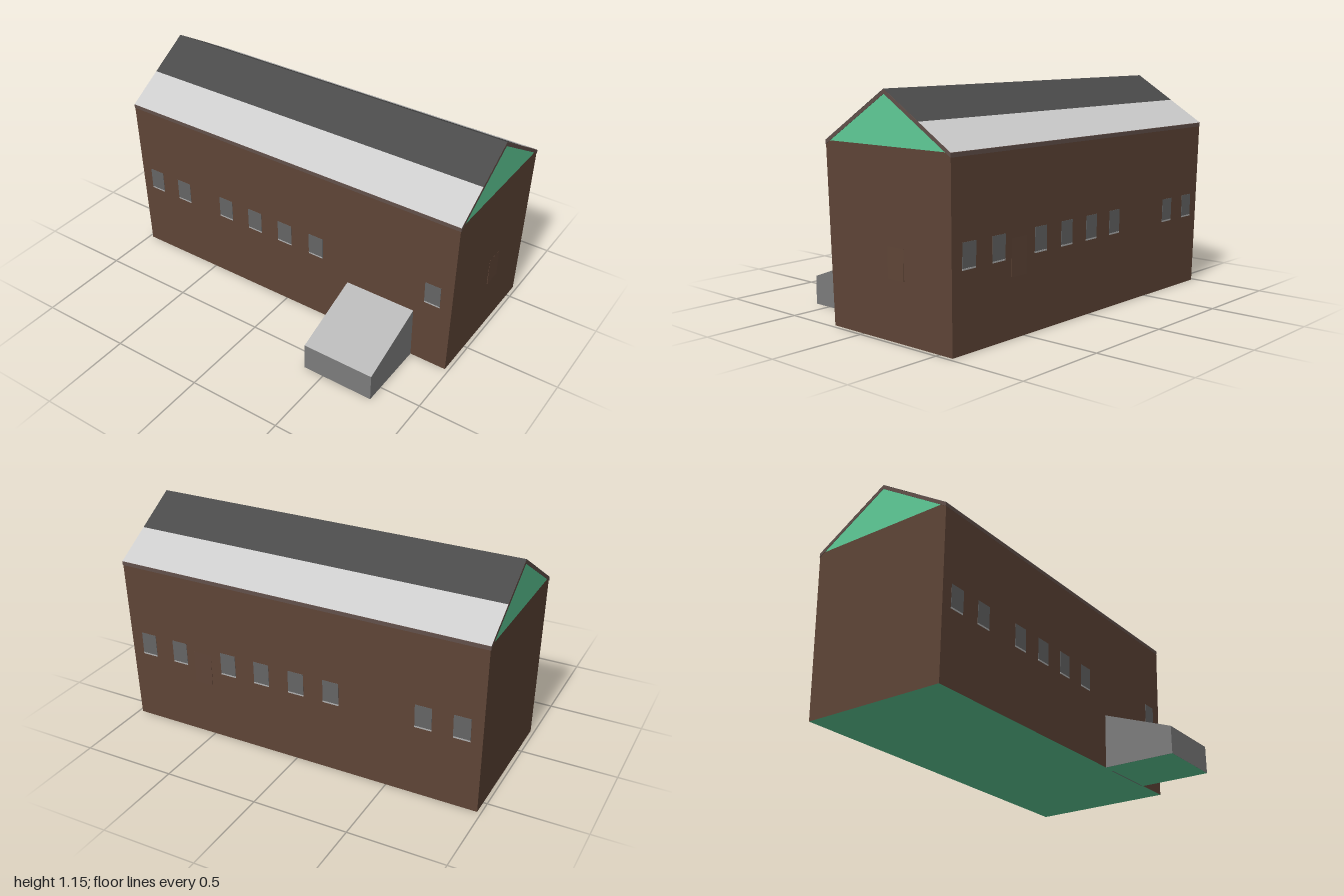
import * as THREE from 'three';

const CZ = -0.188;            // centre line of the building in z
const EAVE = 0.9, RIDGE = 1.153, HALF = 0.41;
const mat = (color, side = THREE.FrontSide) =>
  new THREE.MeshStandardMaterial({ color, side, flatShading: true });

export function createModel() {
  const model = new THREE.Group();
  const brown = mat(0x5f4537), green = mat(0x5fcc98), trim = mat(0x62504a);
  const light = mat(0xcccccc, THREE.DoubleSide), dark = mat(0x4a4a4a, THREE.DoubleSide);
  const porchGrey = mat(0x7c7c7c), porchTop = mat(0xb6b6b6);
  const glass = mat(0x656565), sillGrey = mat(0xb0b0b0);

  const add = (name, geometry, material, parent = model) => {
    const mesh = new THREE.Mesh(geometry, material);
    mesh.name = name;
    parent.add(mesh);
    return mesh;
  };
  const box = (name, w, h, d, x, y, z, material, parent) => {
    const mesh = add(name, new THREE.BoxGeometry(w, h, d), material, parent);
    mesh.position.set(x, y, z);
    return mesh;
  };
  // Extrude a [z, y] outline along x, between x0 and x1
  const prism = (name, points, x0, x1, material) => {
    const shape = new THREE.Shape(points.map(([z, y]) => new THREE.Vector2(-z, y)));
    const geometry = new THREE.ExtrudeGeometry(shape, { depth: x1 - x0, bevelEnabled: false });
    geometry.rotateY(Math.PI / 2).translate(x0, 0, 0);
    return add(name, geometry, material);
  };

  // Walls, leaning slightly outward towards the top
  const walls = new THREE.BoxGeometry(2, EAVE, 2).translate(0, EAVE / 2, 0);
  const p = walls.attributes.position;
  for (let i = 0; i < p.count; i++) {
    const top = p.getY(i) > 0.1;
    p.setX(i, p.getX(i) * (top ? 0.998 : 0.98));
    p.setZ(i, CZ + p.getZ(i) * (top ? HALF - 0.001 : 0.394));
  }
  walls.computeVertexNormals();
  add('walls', walls, [brown, brown, green, green, brown, brown]);

  // Gable infill under the roof
  prism('gable', [[CZ - HALF + 0.03, EAVE], [CZ + HALF - 0.03, EAVE], [CZ, RIDGE - 0.02]],
    -0.998, 0.998, green);

  // Roof slab with its visible edge
  prism('roofSlab', [
    [CZ + HALF, EAVE], [CZ, RIDGE], [CZ - HALF, EAVE],
    [CZ - HALF, EAVE - 0.02], [CZ, RIDGE - 0.021], [CZ + HALF, EAVE - 0.02],
  ], -1, 1, trim);

  // Roof covering: a light lower band and a dark upper band on each slope
  const run = Math.hypot(HALF, RIDGE - EAVE);
  const pitch = Math.atan2(RIDGE - EAVE, HALF);
  const split = 0.47;
  for (const side of [1, -1]) {
    for (const [name, a, b, m] of [['lowerRoof', 0, split, light], ['upperRoof', split, 1, dark]]) {
      const t = (a + b) / 2;
      const band = add(name, new THREE.PlaneGeometry(2, run * (b - a)).rotateX(-Math.PI / 2), m);
      band.position.set(0, EAVE + 0.0015 + t * (RIDGE - EAVE), CZ + side * HALF * (1 - t));
      band.rotation.x = side * pitch;
    }
  }

  // Windows with a pale sill, lying along the leaning wall
  const lean = Math.atan2(0.015, EAVE);
  const wallRow = (name, xs, side) => {
    const row = new THREE.Group();
    row.name = name;
    for (const x of xs) {
      const item = new THREE.Group();
      item.name = 'window';
      const y = 0.444;
      item.position.set(x, y, CZ + side * (0.394 + 0.015 * y / EAVE));
      item.rotation.x = side * lean;
      box('pane', 0.087, 0.122, 0.003, 0, 0, 0, glass, item);
      box('sill', 0.087, 0.008, 0.004, 0, -0.059, 0, sillGrey, item);
      row.add(item);
    }
    model.add(row);
  };
  wallRow('frontWindows', [-0.885, -0.69, -0.395, -0.2, -0.005, 0.193, 0.88], 1);
  wallRow('backWindows', [-0.885, -0.69, -0.2, -0.005, 0.193, 0.39, 0.685, 0.88], -1);

  // Small upright panels that fade into the leaning walls
  box('sidePanel', 0.03, 0.15, 0.104, 0.9745, 0.37, -0.238, brown);
  box('backPanel', 0.104, 0.18, 0.03, 0.545, 0.385, CZ - 0.387, brown);

  // Lean-to porch
  prism('porch', [[0.2, 0], [0.598, 0], [0.598, 0.148], [0.2, 0.297]], 0.39, 0.78, porchGrey);
  const slope = Math.atan2(0.149, 0.398);
  const porchRoof = add('porchRoof',
    new THREE.PlaneGeometry(0.39, Math.hypot(0.398, 0.149)).rotateX(-Math.PI / 2), porchTop);
  porchRoof.position.set(0.585, 0.2235, 0.399);
  porchRoof.rotation.x = slope;
  const porchFloor = add('porchFloor', new THREE.PlaneGeometry(0.39, 0.392).rotateX(Math.PI / 2), green);
  porchFloor.position.set(0.585, -0.0005, 0.402);

  return model;
}
